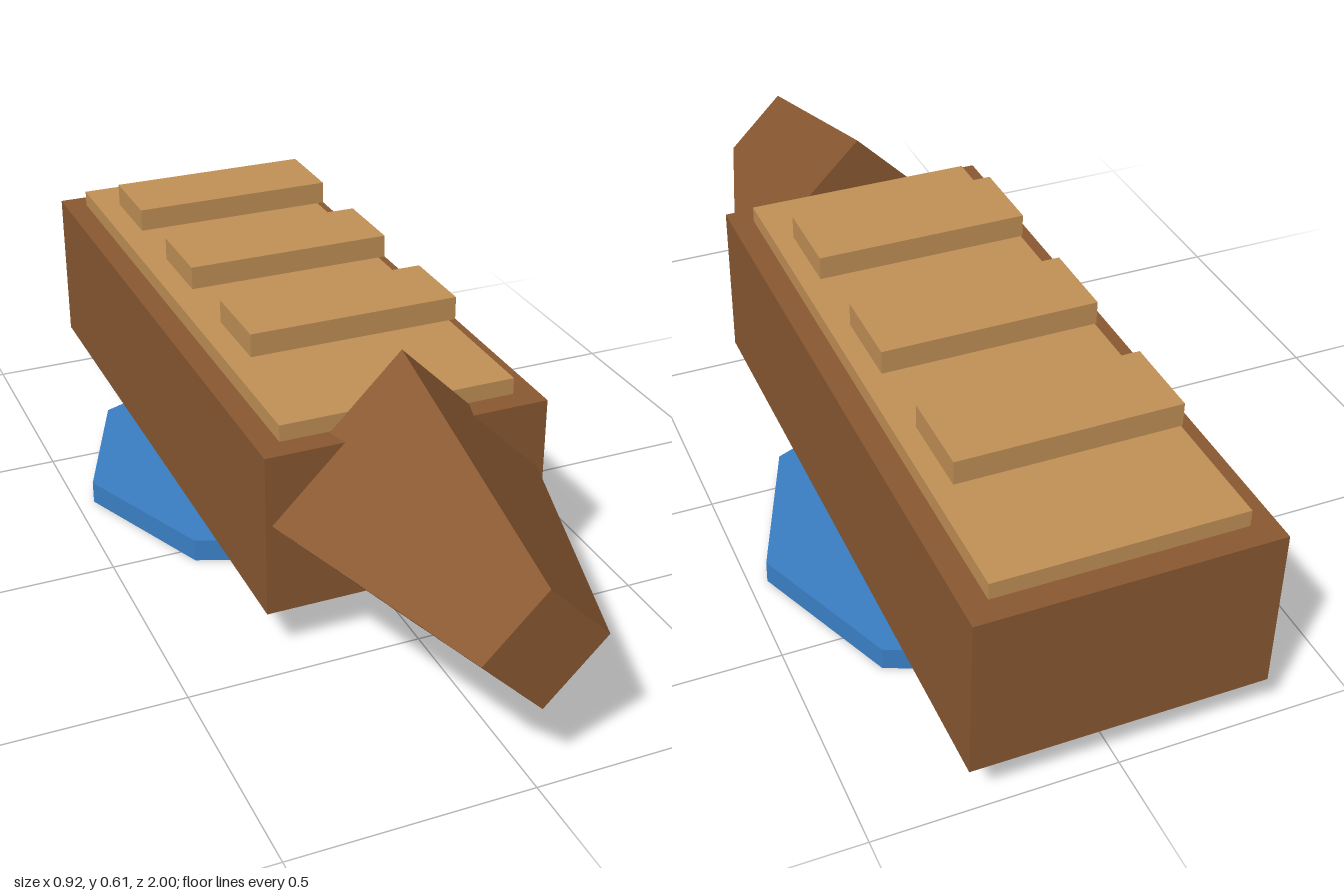
import * as THREE from 'three';

export function createModel() {
  const group = new THREE.Group();
  const material = (name, color) => {
    const m = new THREE.MeshStandardMaterial({ color, flatShading: true });
    m.name = name;
    return m;
  };
  const darkWood = material('darkWood', 0x8b5a32);
  const lightWood = material('lightWood', 0xc49257);
  const water = material('waterBlue', 0x3a80c6);

  const midZ = -0.282; // centre of the boat body along its length
  const add = (name, geometry, mat, x, y, z) => {
    const mesh = new THREE.Mesh(geometry, mat);
    mesh.name = name;
    mesh.position.set(x, y, z);
    group.add(mesh);
    return mesh;
  };

  // Body and the raised deck on top of it
  add('hull', new THREE.BoxGeometry(0.614, 0.358, 1.436), darkWood, 0, 0.283, midZ);
  add('deck', new THREE.BoxGeometry(0.512, 0.051, 1.333), lightWood, 0, 0.4725, midZ);

  // Tapered four-sided bow with a flat tip
  const bow = add('bow', new THREE.CylinderGeometry(0.128, 0.307, 0.61, 4), darkWood, 0, 0.308, 0.695);
  bow.rotation.x = Math.PI / 2;

  // Three seats hovering above the deck
  for (const i of [-1, 0, 1]) {
    add('seat', new THREE.BoxGeometry(0.461, 0.051, 0.179), lightWood, 0, 0.565, midZ + i * 0.359);
  }

  // Eight-sided water disc under the hull
  add('waterDisc', new THREE.CylinderGeometry(0.461, 0.461, 0.051, 8), water, 0, 0.0265, midZ);

  return group;
}
